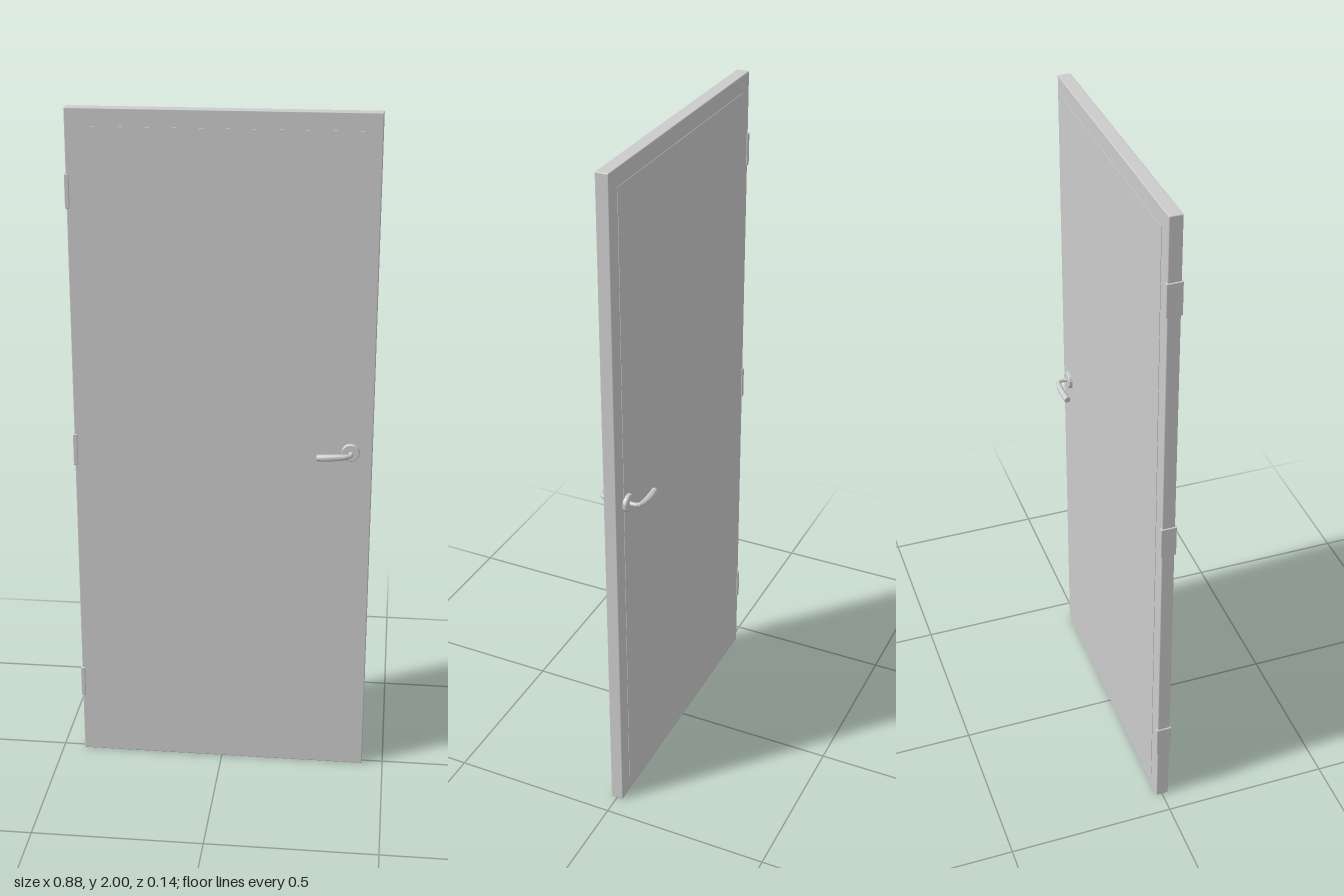
import * as THREE from 'three';
import { toCreasedNormals } from 'three/addons/utils/BufferGeometryUtils.js';
import { RoundedBoxGeometry } from 'three/addons/geometries/RoundedBoxGeometry.js';

const material = new THREE.MeshStandardMaterial({ color: 0xcccccc });

function part(name, geometry, parent, x = 0, y = 0, z = 0) {
  const mesh = new THREE.Mesh(geometry, material);
  mesh.name = name;
  mesh.position.set(x, y, z);
  parent.add(mesh);
  return mesh;
}

// Tube along a curve whose radius follows a rule; the end rings close to a point
function taperedTube(curve, radiusAt, steps, sides) {
  const geometry = new THREE.TubeGeometry(curve, steps, 1, sides);
  const pos = geometry.attributes.position;
  const p = new THREE.Vector3();
  for (let i = 0; i <= steps; i++) {
    const centre = curve.getPointAt(i / steps);
    const radius = i === 0 || i === steps ? 0 : radiusAt(i / steps);
    for (let j = 0; j <= sides; j++) {
      const k = i * (sides + 1) + j;
      p.fromBufferAttribute(pos, k).sub(centre).multiplyScalar(radius).add(centre);
      pos.setXYZ(k, p.x, p.y, p.z);
    }
  }
  return toCreasedNormals(geometry, 0.7);
}

// Round rose with a bent lever, facing +z; origin at the spindle axis
function createHandle(name) {
  const handle = new THREE.Group();
  handle.name = name;

  const profile = [[0, 0.015], [0.0265, 0.015], [0.0265, 0.028], [0.024, 0.031], [0, 0.031]]
    .map(([r, h]) => new THREE.Vector2(r, h));
  const rose = toCreasedNormals(new THREE.LatheGeometry(profile, 32), 0.5);
  part('rose', rose.rotateX(Math.PI / 2), handle);

  const path = new THREE.CatmullRomCurve3([
    new THREE.Vector3(0, 0, 0.027),
    new THREE.Vector3(0.002, 0, 0.046),
    new THREE.Vector3(-0.005, 0, 0.058),
    new THREE.Vector3(-0.045, -0.003, 0.0625),
    new THREE.Vector3(-0.097, -0.007, 0.0585),
  ]);
  const radiusAt = (t) => 0.006 + 0.0035 * THREE.MathUtils.smoothstep(t, 0.1, 0.6);
  part('lever', taperedTube(path, radiusAt, 60, 16), handle);
  return handle;
}

export function createModel() {
  const door = new THREE.Group();
  door.name = 'door';

  // Slab with softened edges and slightly raised face skins
  const slab = new RoundedBoxGeometry(0.871, 2, 0.038, 2, 0.003);
  part('slab', slab, door, 0.0015, 1, 0);
  part('faceSkins', new THREE.BoxGeometry(0.78, 1.9, 0.0405), door, 0.0015, 1, 0);

  // Three hinges wrapped around the left-hand edge
  for (const y of [0.237, 1.005, 1.77]) {
    part('hinge', new RoundedBoxGeometry(0.013, 0.096, 0.045, 2, 0.002), door, -0.4315, y, 0);
  }

  // One handle on each face, the back one mirrored
  const front = createHandle('frontHandle');
  const back = createHandle('backHandle');
  back.scale.z = -1;
  for (const handle of [front, back]) {
    handle.position.set(0.374, 1.03, 0);
    door.add(handle);
  }
  return door;
}
